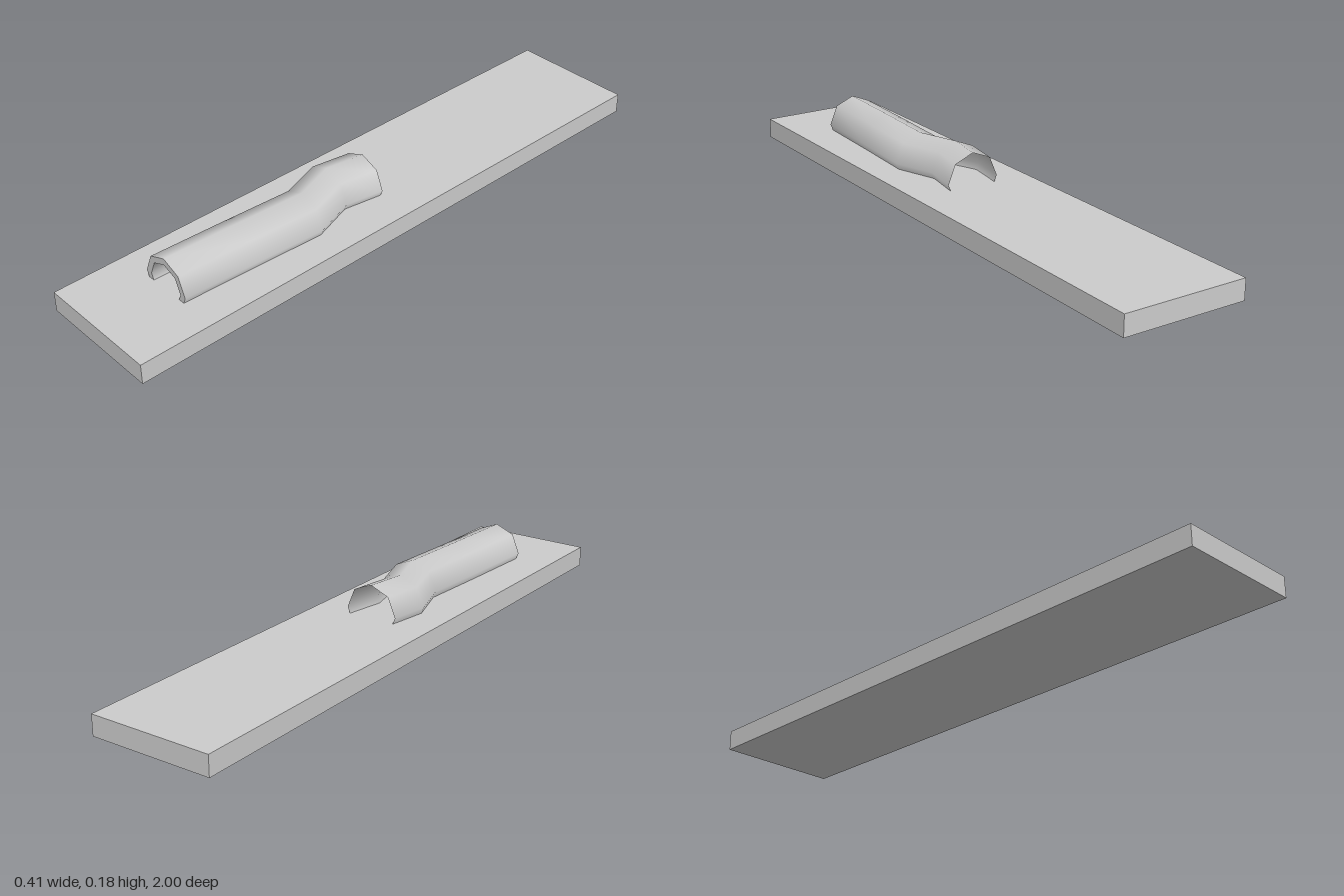
import * as THREE from 'three';

// Open half-octagon arch, its feet sunk slightly into the slab
const r = Math.SQRT1_2;
const ARCH = [[0.853, -0.354], [1, 0], [r, r], [0, 1], [-r, r], [-1, 0], [-0.853, -0.354]];

// Stations along the cover: z, sideways offset, wall thickness
const STATIONS = [
  [0, -0.001, 0],
  [0.13, -0.022, 0.003],
  [0.27, 0.025, 0.014],
  [0.5, 0.012, 0.018],
  [0.76, 0, 0.022],
];
const RADIUS = 0.09;
const AXIS_Y = 0.088;

const ring = (z, x, radius) => ARCH.map(([u, v]) => [x + u * radius, AXIS_Y + v * radius, z]);

// Skin a list of rings; flip turns the faces inward
function skin(rings, flip = false) {
  const n = ARCH.length;
  const index = [];
  for (let k = 0; k < rings.length - 1; k++) {
    for (let i = 0; i < n - 1; i++) {
      const a = k * n + i, b = a + 1, c = b + n, d = a + n;
      if (flip) index.push(a, c, b, a, d, c);
      else index.push(a, b, c, a, c, d);
    }
  }
  const g = new THREE.BufferGeometry();
  g.setAttribute('position', new THREE.Float32BufferAttribute(rings.flat(2), 3));
  g.setIndex(index);
  g.computeVertexNormals();
  return g;
}

export function createModel() {
  const group = new THREE.Group();
  const grey = new THREE.MeshStandardMaterial({ color: 0xcccccc });
  grey.name = 'light grey';

  const add = (name, geometry, parent) => {
    const mesh = new THREE.Mesh(geometry, grey);
    mesh.name = name;
    parent.add(mesh);
    return mesh;
  };

  // Flat slab
  add('baseSlab', new THREE.BoxGeometry(0.415, 0.067, 2), group).position.y = 0.0335;

  // Bent tunnel cover whose wall thins towards the back
  const tunnel = new THREE.Group();
  tunnel.name = 'tunnel';
  group.add(tunnel);
  const outer = STATIONS.map(([z, x]) => ring(z, x, RADIUS));
  const inner = STATIONS.map(([z, x, wall]) => ring(z, x, RADIUS - wall));
  add('tunnelOuterWall', skin(outer), tunnel);
  add('tunnelInnerWall', skin(inner, true), tunnel);
  add('tunnelFrontRim', skin([outer.at(-1), inner.at(-1)]), tunnel);

  return group;
}
